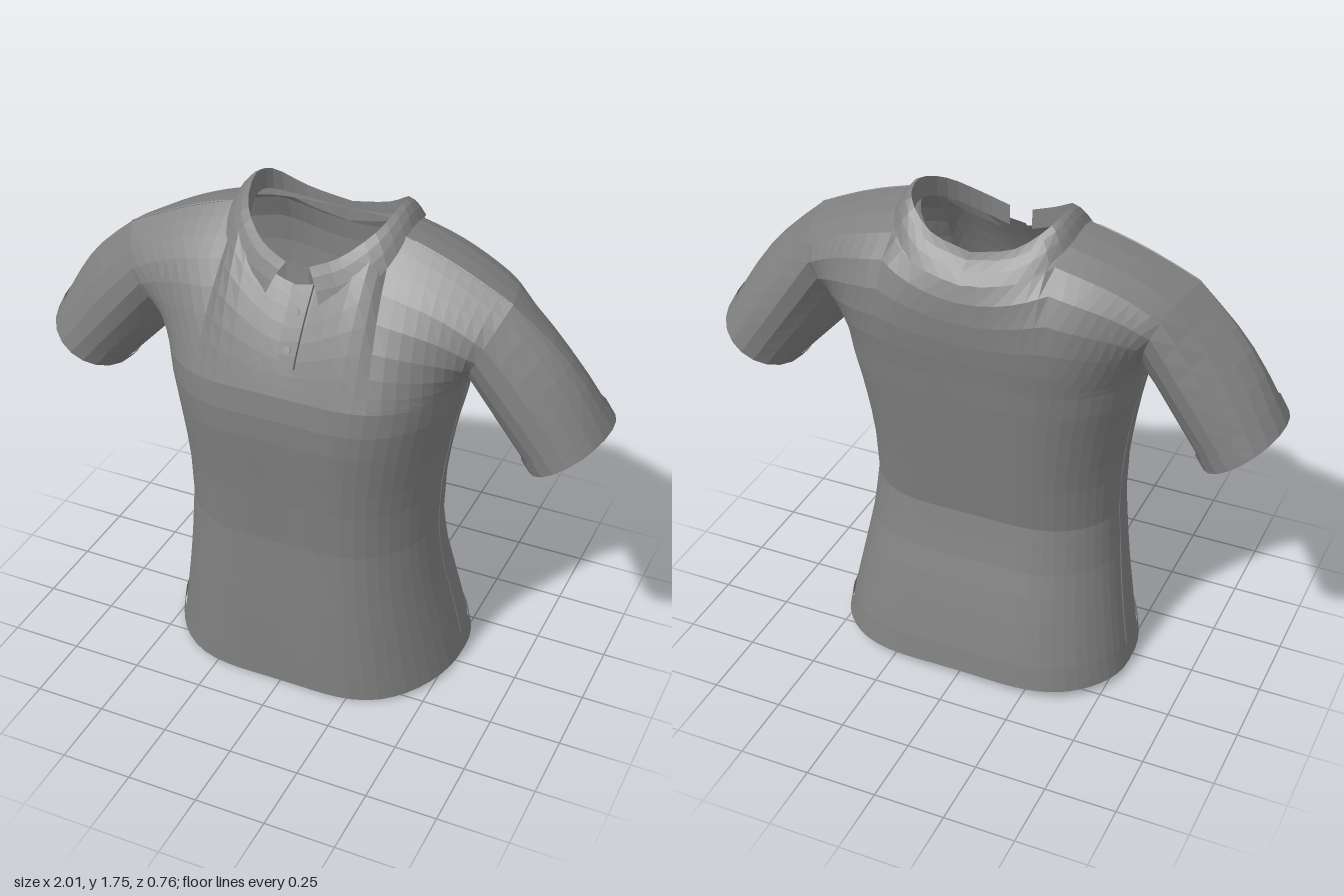
import * as THREE from 'three';

const fabric = new THREE.MeshStandardMaterial({ color: 0x808080, flatShading: true, side: THREE.DoubleSide });
fabric.name = 'grey fabric';

const lerp = THREE.MathUtils.lerp;
const ARMPIT = 1.2;

// Torso sections: height, half width, front depth, back depth, side seam z
const sections = [
  [0, 0.53, 0.35, -0.37, -0.06], [0.1, 0.515, 0.35, -0.355, -0.055], [0.3, 0.48, 0.348, -0.305, -0.02],
  [0.45, 0.458, 0.344, -0.26, 0.01], [0.6, 0.445, 0.341, -0.23, 0.02], [0.8, 0.45, 0.354, -0.255, 0.02],
  [1.0, 0.48, 0.375, -0.28, 0.01], [1.1, 0.503, 0.38, -0.293, 0], [1.2, 0.52, 0.365, -0.303, 0],
];

function sectionAt(y) {
  let i = 0;
  while (i < sections.length - 2 && y > sections[i + 1][0]) i++;
  const a = sections[i], b = sections[i + 1];
  const k = (y - a[0]) / (b[0] - a[0]);
  return a.map((n, j) => lerp(n, b[j], k));
}

// Mesh from a rule giving a point for each pair of parameters
function sheet(name, us, vs, rule) {
  const pos = [], index = [];
  for (const v of vs) for (const u of us) pos.push(...rule(u, v));
  const n = us.length;
  for (let j = 0; j < vs.length - 1; j++) {
    for (let i = 0; i < n - 1; i++) {
      const a = j * n + i;
      index.push(a, a + 1, a + n, a + 1, a + n + 1, a + n);
    }
  }
  const geometry = new THREE.BufferGeometry();
  geometry.setAttribute('position', new THREE.Float32BufferAttribute(pos, 3));
  geometry.setIndex(index);
  geometry.computeVertexNormals();
  const mesh = new THREE.Mesh(geometry, fabric);
  mesh.name = name;
  return mesh;
}

const range = (n, a = 0, b = 1) => Array.from({ length: n + 1 }, (_, i) => lerp(a, b, i / n));

// Torso below the armpit; u runs from side to side, face is 1 in front, -1 behind
function lowerPoint(face, u, y) {
  const [, w, front, back, seam] = sectionAt(y);
  const th = u * Math.PI / 2, c = Math.max(0, Math.cos(th));
  const depth = (face > 0 ? front : back) - seam;
  const z = seam + depth * Math.pow(c, 0.8) * (1 + 0.13 * Math.sin(2 * th) ** 2);
  const hem = lerp(0.022, face > 0 ? 0 : 0.04, c);
  return [w * Math.sin(th), y + hem * (1 - y / ARMPIT), z];
}

// Neckline continued by the shoulder seam
function topPoint(face, u) {
  const s = Math.abs(u), sign = Math.sign(u);
  if (s > 0.4) {
    const k = (s - 0.4) / 0.6;
    return [sign * (0.265 + 0.405 * k), 1.69 - 0.155 * k + 0.014 * Math.sin(Math.PI * k), 0.03 + 0.025 * k];
  }
  const phi = s / 0.4 * Math.PI / 2, c = Math.max(0, Math.cos(phi));
  return [
    sign * 0.265 * Math.sin(phi),
    1.69 - (face > 0 ? 0.17 * c ** 3 : 0.09 * Math.pow(c, 1.5)),
    0.03 + (face > 0 ? 0.165 : -0.24) * c,
  ];
}

// Whole torso: v 0..1 up to the armpit, 1..2 up to the shoulder
function torsoPoint(face, u, v) {
  if (v <= 1) return lowerPoint(face, u, v * ARMPIT);
  const t = v - 1, s = Math.abs(u);
  const a = lowerPoint(face, u, ARMPIT), b = topPoint(face, u);
  const arc = Math.max(0, Math.sin(Math.PI * t));
  const p = a.map((n, j) => lerp(n, b[j], t));
  if (face > 0) {
    // Chest slopes back to the seam
    p[2] += lerp(0.015, 0.14, s * s) * arc;
    p[1] += 0.03 * Math.sin(Math.PI * s) * arc * t;
  } else {
    // Shoulder blades round over to the seam
    const phi = t * Math.PI / 2;
    p[1] = lerp(a[1], b[1], Math.pow(Math.sin(phi), 0.9));
    p[2] = lerp(b[2], a[2], Math.pow(Math.max(0, Math.cos(phi)), 0.9)) - lerp(0.035, 0.215, s * s) * arc;
  }
  return p;
}

// Sleeve: a runs round from the armpit (0) over the front to the shoulder (PI) and down the back
const cuffUp = [0.122, 0.085];
function sleevePoint(side, a, t, grow = 1) {
  const face = a <= Math.PI ? 1 : -1;
  const c = Math.cos(a), s = Math.sin(a);
  const root = torsoPoint(face, 1, 1 + (1 - c) / 2);
  const end = [0.877 - cuffUp[0] * c * grow, 1.035 - cuffUp[1] * c * grow, -0.015 + 0.185 * s * grow];
  const p = root.map((n, j) => lerp(n, end[j], t));
  const bulge = Math.sin(Math.PI * t) * 0.035 * Math.max(0, -c);
  return [side * (p[0] + bulge * 0.8), p[1] + bulge * 0.6, p[2]];
}

// Collar edges on one half, from the front point to the middle of the back
const curve = (pts) => new THREE.CatmullRomCurve3(pts.map((p) => new THREE.Vector3(...p)));
const collarTop = curve([[0.04, 1.59, 0.188], [0.13, 1.63, 0.165], [0.22, 1.7, 0.085], [0.255, 1.75, -0.045],
  [0.24, 1.73, -0.135], [0.145, 1.66, -0.2], [0, 1.625, -0.215]]);
const collarEdge = curve([[0.095, 1.48, 0.232], [0.19, 1.52, 0.205], [0.28, 1.61, 0.128], [0.305, 1.69, -0.01],
  [0.29, 1.66, -0.165], [0.18, 1.58, -0.27], [0, 1.55, -0.302]]);

function collarPoint(side, u, v) {
  const top = collarTop.getPoint(u), edge = collarEdge.getPoint(u);
  if (v > 1) {
    const drop = v - 1; // inner stand
    return [side * top.x * (1 - 0.02 * drop), top.y - 0.07 * drop, top.z * (1 - 0.02 * drop)];
  }
  const p = edge.lerp(top, v);
  return [side * p.x, p.y + 0.012 * Math.sin(Math.PI * v), p.z];
}

// Thin raised seam through points
function seam(name, points) {
  const mesh = new THREE.Mesh(new THREE.TubeGeometry(curve(points), 16, 0.003, 4), fabric);
  mesh.name = name;
  return mesh;
}

export function createModel() {
  const shirt = new THREE.Group();
  shirt.name = 'shirt';

  // Armhole rows follow a cosine so that the sleeves meet them exactly
  const steps = 10;
  const rows = [...range(14), ...range(steps).slice(1).map((k) => 1 + (1 - Math.cos(Math.PI * k)) / 2)];
  const columns = range(30, -1, 1);

  for (const face of [1, -1]) {
    const label = face > 0 ? 'front' : 'back';
    shirt.add(sheet(label + 'Panel', columns, rows, (u, v) => torsoPoint(face, u, v)));
    // Bottom hem
    shirt.add(sheet(label + 'Hem', columns, [0, 0.03, 0.06], (u, v) => {
      const [x, y, z] = torsoPoint(face, u, v);
      return [x * 1.012, y, z * 1.02];
    }));
  }

  for (const side of [1, -1]) {
    const label = side > 0 ? 'left' : 'right';
    const around = range(steps * 2, 0, Math.PI * 2);
    shirt.add(sheet(label + 'Sleeve', around, range(6), (a, t) => sleevePoint(side, a, t)));
    shirt.add(sheet(label + 'Cuff', around, [0.87, 0.935, 1], (a, t) => sleevePoint(side, a, t, 1.04)));
    shirt.add(sheet(label + 'Collar', range(18), [0, 0.33, 0.67, 1, 1.5, 2], (u, v) => collarPoint(side, u, v)));
    shirt.add(seam(label + 'ShoulderSeam', range(4, 0.5, 1).map((u) => topPoint(1, side * u))));
    shirt.add(seam(label + 'SideSeam', range(8, 0.02, 0.98).map((v) => torsoPoint(1, side, v))));
  }

  // Button placket, a raised strip at the neck opening
  const strip = [[-0.01, 0], [-0.009, 0.01], [0.059, 0.01], [0.06, 0]];
  shirt.add(sheet('placket', strip, range(6, 1.28, 2), ([u, lift], v) => {
    const [x, y, z] = torsoPoint(1, u, v);
    return [x, y + lift * 0.5, z + lift];
  }));
  for (const v of [1.45, 1.78]) {
    const [x, y, z] = torsoPoint(1, 0.025, v);
    const button = new THREE.Mesh(new THREE.CylinderGeometry(0.012, 0.012, 0.008, 10), fabric);
    button.position.set(x, y + 0.005, z + 0.011);
    button.rotation.x = 1.05;
    button.name = 'button';
    shirt.add(button);
  }
  return shirt;
}
